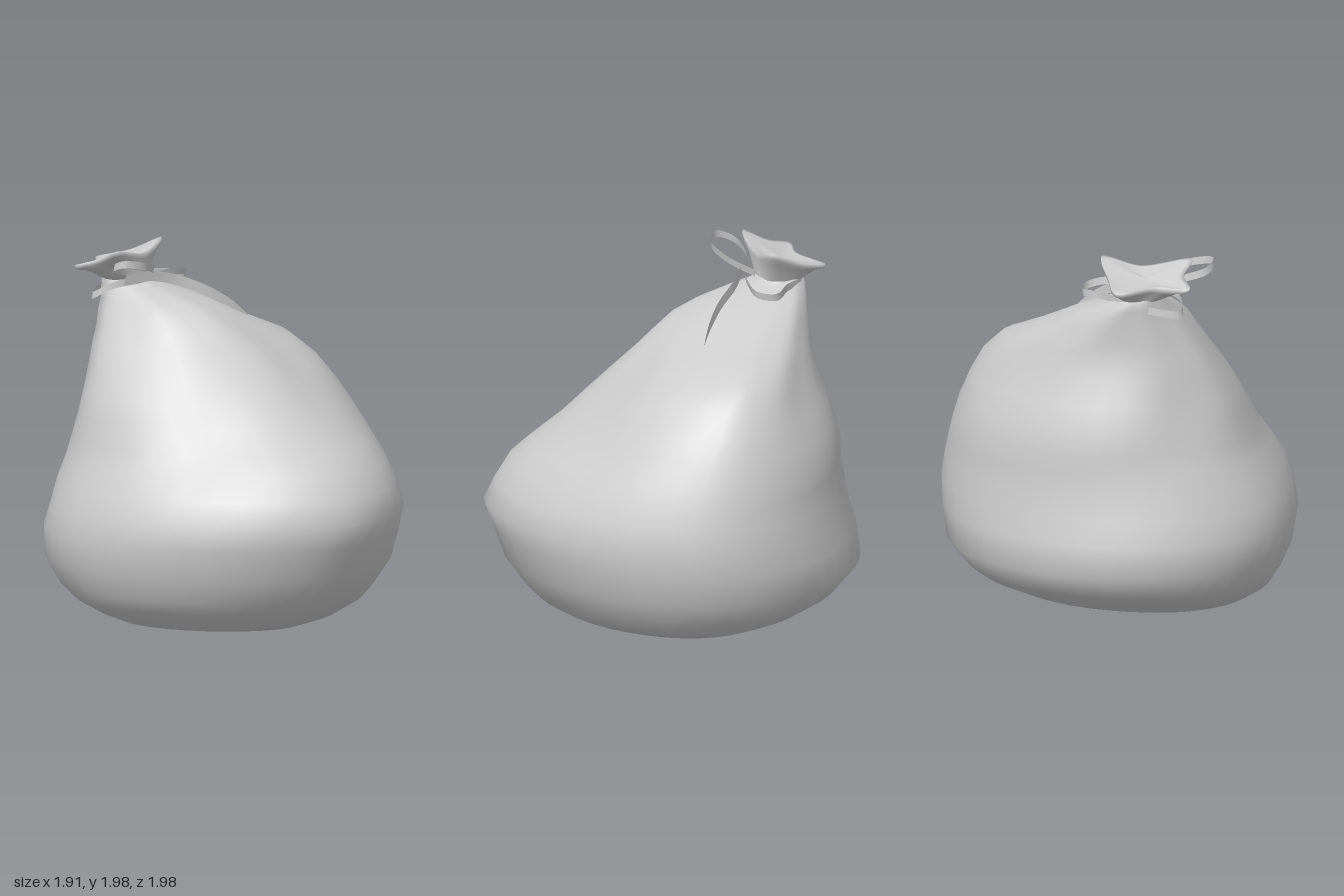
import * as THREE from 'three';

const material = new THREE.MeshStandardMaterial({ color: 0xcccccc, roughness: 0.8, side: THREE.DoubleSide });
const SEG = 40;

// Skins a stack of rings (arrays of Vector3); closed rings share their seam vertices
function loft(rings, closed) {
  const n = rings[0].length, pos = [], idx = [];
  for (const ring of rings) for (const p of ring) pos.push(p.x, p.y, p.z);
  for (let i = 0; i < rings.length - 1; i++) {
    for (let j = 0; j < (closed ? n : n - 1); j++) {
      const k = (j + 1) % n;
      const a = i * n + j, b = i * n + k, c = a + n, d = b + n;
      idx.push(a, c, b, b, c, d);
    }
  }
  const geo = new THREE.BufferGeometry();
  geo.setAttribute('position', new THREE.Float32BufferAttribute(pos, 3));
  geo.setIndex(idx);
  geo.computeVertexNormals();
  return geo;
}

function part(name, geo) {
  const mesh = new THREE.Mesh(geo, material);
  mesh.name = name;
  return mesh;
}

// Sack levels: y, left x, right x, back z, front z, z of the widest line
const levels = [
  [0.00, -0.50, 0.20, -0.25, 0.35, 0.00],
  [0.02, -0.62, 0.42, -0.47, 0.53, -0.05],
  [0.06, -0.71, 0.60, -0.62, 0.63, -0.10],
  [0.13, -0.82, 0.76, -0.76, 0.73, -0.13],
  [0.20, -0.87, 0.82, -0.88, 0.80, -0.15],
  [0.33, -0.93, 0.91, -0.99, 0.89, -0.16],
  [0.50, -0.955, 0.945, -0.965, 0.95, -0.16],
  [0.63, -0.92, 0.955, -0.93, 0.995, -0.16],
  [0.75, -0.88, 0.935, -0.91, 0.94, -0.17],
  [0.87, -0.82, 0.905, -0.89, 0.87, -0.19],
  [0.97, -0.78, 0.87, -0.89, 0.76, -0.22],
  [1.10, -0.75, 0.82, -0.86, 0.60, -0.26],
  [1.22, -0.71, 0.76, -0.82, 0.48, -0.30],
  [1.35, -0.65, 0.68, -0.77, 0.35, -0.34],
  [1.46, -0.60, 0.56, -0.74, 0.22, -0.38],
  [1.54, -0.55, 0.37, -0.72, 0.12, -0.41],
  [1.62, -0.51, 0.20, -0.71, 0.02, -0.45],
  [1.68, -0.47, 0.08, -0.70, -0.10, -0.48],
  [1.73, -0.45, -0.05, -0.69, -0.25, -0.51],
  [1.77, -0.43, -0.15, -0.68, -0.38, -0.53],
  [1.80, -0.42, -0.18, -0.66, -0.42, -0.54],
];

// Soft dents pressed into the cloth: position, radius, depth
const dents = [
  [0.22, 1.32, 0.25, 0.24, 0.06],
  [0.55, 0.95, 0.40, 0.28, 0.04],
  [-0.45, 1.00, 0.42, 0.26, 0.05],
  [0.35, 1.35, -0.65, 0.25, 0.04],
  [-0.62, 1.15, -0.60, 0.20, 0.04],
];

function sackRing([y, x0, x1, z0, z1, zc]) {
  const cx = (x0 + x1) / 2, rx = (x1 - x0) / 2;
  const ring = [];
  const pleat = THREE.MathUtils.smoothstep(y, 1.1, 1.65) * 0.035;
  for (let j = 0; j < SEG; j++) {
    const t = (j / SEG) * Math.PI * 2, c = Math.cos(t), s = Math.sin(t);
    // The front half tapers more sharply than the round back
    const e = s > 0 ? 1.12 : 0.98;
    const rz = s > 0 ? z1 - zc : zc - z0;
    const fold = 1 - pleat * (1 - Math.cos(t * 8)) * 0.5;
    const p = new THREE.Vector3(
      cx + Math.sign(c) * Math.abs(c) ** e * rx * fold, y,
      zc + Math.sign(s) * Math.abs(s) ** e * rz * fold);
    for (const [dx, dy, dz, r, depth] of dents) {
      const d2 = (p.x - dx) ** 2 + (p.y - dy) ** 2 + (p.z - dz) ** 2;
      const k = depth * Math.exp(-d2 / (r * r));
      p.x -= c * k;
      p.z -= s * k;
    }
    ring.push(p);
  }
  return ring;
}

function sack() {
  const rings = levels.map(sackRing);
  const base = new THREE.Vector3(-0.15, 0, 0.02);
  rings.unshift(rings[0].map(() => base.clone()));
  return part('sack', loft(rings, true));
}

// Gathered mouth: a four-cornered flare above the neck, sunk in the middle
function mouth() {
  const rim = new THREE.CatmullRomCurve3([
    [-0.08, 1.975, -0.52], [-0.26, 1.92, -0.43], [-0.52, 1.965, -0.34], [-0.53, 1.91, -0.47],
    [-0.615, 1.87, -0.58], [-0.44, 1.87, -0.63], [-0.29, 1.86, -0.79], [-0.18, 1.90, -0.66],
  ].map(p => new THREE.Vector3(...p)), true);
  const centre = new THREE.Vector3(-0.33, 1.885, -0.54);
  const neck = [], edge = [];
  for (let j = 0; j < SEG; j++) {
    const t = (j / SEG) * Math.PI * 2;
    neck.push(new THREE.Vector3(-0.3 + 0.115 * Math.cos(t), 1.775, -0.54 + 0.115 * Math.sin(t)));
    edge.push(rim.getPoint(j / SEG));
  }
  const mix = (a, b, k, dy = 0) => a.map((p, j) => {
    const q = p.clone().lerp(b[j], k);
    q.y += dy;
    return q;
  });
  const mid = edge.map(() => centre);
  const rings = [neck, mix(neck, edge, 0.3), mix(neck, edge, 0.65), mix(neck, edge, 0.96, -0.02),
    edge, mix(edge, mid, 0.12), mix(edge, mid, 0.5, -0.01), mix(edge, mid, 1)];
  return part('gatheredMouth', loft(rings, true));
}

// Flat ribbon following a path, its width lying along a fixed direction
function ribbon(name, path, width, closed = false, taper = 0) {
  const curve = new THREE.CatmullRomCurve3(path.map(p => new THREE.Vector3(...p)), closed);
  const across = new THREE.Vector3(0.15, 1, 0.1).normalize();
  const rings = [];
  for (let i = 0; i <= 36; i++) {
    const u = i / 36, p = curve.getPoint(u);
    const w = width * (1 - taper * THREE.MathUtils.smoothstep(u, 0.7, 1)) / 2;
    rings.push([p.clone().addScaledVector(across, -w), p.clone().addScaledVector(across, w)]);
  }
  return part(name, loft(rings, false));
}

export function createModel() {
  const group = new THREE.Group();
  group.name = 'tiedSack';
  group.add(sack(), mouth());

  // Ribbon round the neck with a wide loop on one side
  group.add(ribbon('neckRibbon', [
    [-0.36, 1.79, -0.37], [-0.1, 1.81, -0.39], [0.03, 1.785, -0.45], [0.02, 1.77, -0.55],
    [-0.12, 1.78, -0.6], [-0.28, 1.77, -0.67], [-0.43, 1.73, -0.61], [-0.54, 1.71, -0.52], [-0.48, 1.77, -0.42],
  ], 0.04, true));

  // Bow loop standing out in front
  group.add(ribbon('bowLoop', [
    [-0.3, 1.81, -0.37], [-0.46, 1.85, -0.36], [-0.58, 1.89, -0.29], [-0.58, 1.92, -0.2],
    [-0.46, 1.9, -0.175], [-0.33, 1.86, -0.27], [-0.23, 1.82, -0.42],
  ], 0.04));

  // Loose end trailing down the front
  group.add(ribbon('ribbonTail', [
    [-0.45, 1.8, -0.36], [-0.3, 1.81, -0.345], [-0.15, 1.78, -0.32], [0.03, 1.7, -0.24],
    [0.2, 1.58, -0.19], [0.35, 1.45, -0.18],
  ], 0.055, false, 0.9));
  return group;
}
